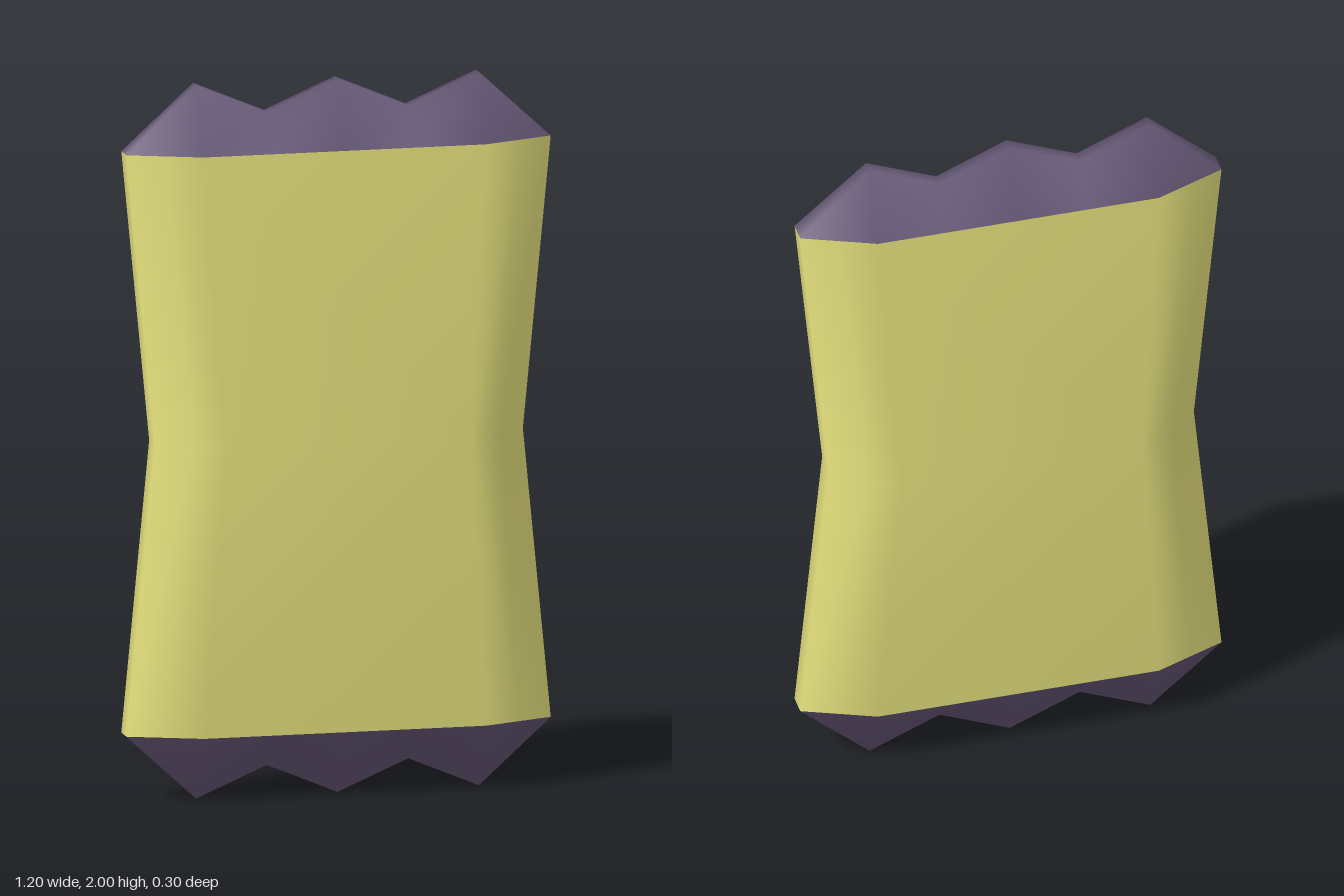
import * as THREE from 'three';

const wrapperMat = new THREE.MeshStandardMaterial({ color: 0xeae680 });
const endMat = new THREE.MeshStandardMaterial({ color: 0x665877 });

const END_Y = 0.815; // height of the wrapper ends above and below the middle

function build(points, faces) {
  const geo = new THREE.BufferGeometry();
  geo.setAttribute('position', new THREE.Float32BufferAttribute(points.flat(), 3));
  // drop triangles that collapse where two rows share a point
  geo.setIndex(faces.filter(([a, b, c]) => a !== b && b !== c && a !== c).flat());
  geo.computeVertexNormals();
  return geo;
}

// Full cross-section loop from its front right corner points (inner to outer)
function section(corner) {
  const front = [...corner.map(([x, z]) => [-x, z]).reverse(), ...corner];
  return [...front, ...front.map(([x, z]) => [-x, -z])];
}

// Wrapper: wide thin ends, narrower and thicker waist
function wrapperGeometry() {
  const end = section([[0.4, 0.11], [0.5, 0.07], [0.6, 0.03]]);
  const waist = section([[0.34, 0.15], [0.43, 0.125], [0.52, 0.035]]);
  const n = end.length;
  const points = [[-END_Y, end], [0, waist], [END_Y, end]]
    .flatMap(([y, loop]) => loop.map(([x, z]) => [x, y, z]));
  const faces = [];
  for (let i = 0; i < n; i++) {
    const j = (i + 1) % n;
    const inner = Math.abs(end[i][0]) < Math.abs(end[j][0]);
    const a = n + i, b = n + j;
    for (const row of [0, 2 * n]) {
      const c = row + j, d = row + i;
      // split so that the waist bulges outward
      const tris = inner ? [[a, b, c], [a, c, d]] : [[a, b, d], [b, c, d]];
      faces.push(...tris.map((t) => (row ? t : t.reverse())));
    }
  }
  return build(points, faces);
}

// Crimped end: sloping sides rising to a thin zigzag ridge
function crimpGeometry() {
  const ridgeY = [null, 1, 0.915, 1, 0.915, 1, null];
  const points = [], columns = [];
  ridgeY.forEach((y, i) => {
    const x = -0.6 + i * 0.2;
    const z = y === null ? 0.03 : 0.11;
    const k = points.length;
    points.push([x, END_Y, z], [x, END_Y, -z]);
    if (y === null) {
      columns.push([k, k, k + 1, k + 1]);
    } else {
      points.push([x, y, 0.018], [x, y, -0.018]);
      columns.push([k, k + 2, k + 3, k + 1]);
    }
  });
  const faces = [];
  for (let i = 0; i < columns.length - 1; i++) {
    const p = columns[i], q = columns[i + 1];
    for (let r = 0; r < 3; r++) {
      faces.push([p[r], q[r], q[r + 1]], [p[r], q[r + 1], p[r + 1]]);
    }
  }
  return build(points, faces);
}

export function createModel() {
  const group = new THREE.Group();
  group.name = 'wrappedBar';
  const add = (name, geo, mat) => {
    const mesh = new THREE.Mesh(geo, mat);
    mesh.name = name;
    mesh.position.y = 1;
    group.add(mesh);
    return mesh;
  };
  add('wrapper', wrapperGeometry(), wrapperMat);
  const crimp = crimpGeometry();
  add('topCrimp', crimp, endMat);
  add('bottomCrimp', crimp, endMat).rotation.z = Math.PI;
  return group;
}
